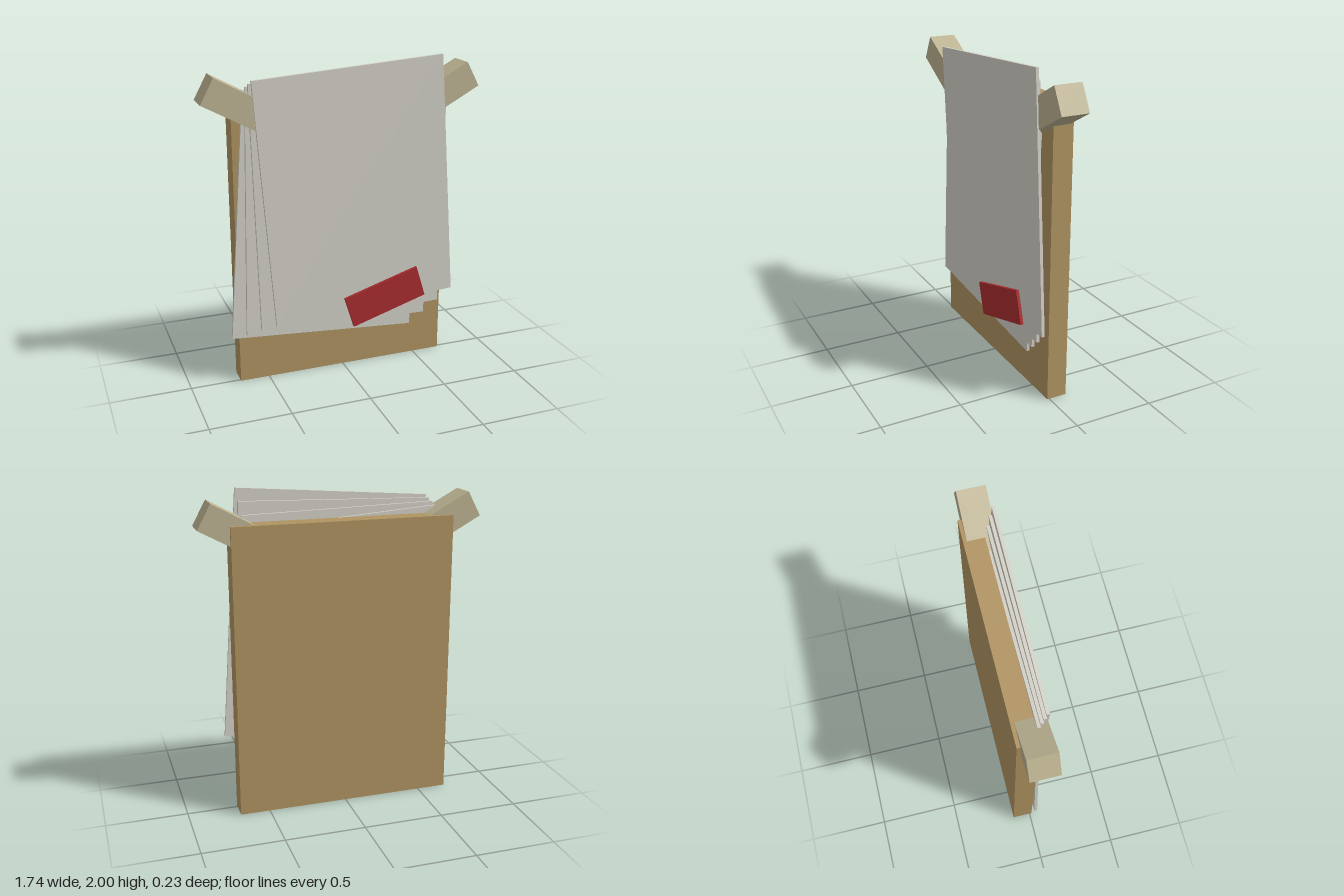
import * as THREE from 'three';

const material = (color) => new THREE.MeshStandardMaterial({ color, flatShading: true });

// A box placed by its centre and turned in the front plane (degrees)
function slab(name, [w, h, d], [x, y, z], angle, mat) {
  const mesh = new THREE.Mesh(new THREE.BoxGeometry(w, h, d), mat);
  mesh.name = name;
  mesh.position.set(x, y, z);
  mesh.rotation.z = THREE.MathUtils.degToRad(angle);
  return mesh;
}

export function createModel() {
  const group = new THREE.Group();
  group.name = 'noticeBoard';
  const wood = material(0xb09462);
  const paper = material(0xd3d1c7);
  const tape = material(0xbeb493);
  const red = material(0xa92d30);

  // Backing board
  group.add(slab('board', [1.37, 1.805, 0.127], [0, 0.9025, -0.0505], 0, wood));

  // Fanned stack of sheets, back to front
  const thickness = 0.0187;
  for (let i = 0; i < 4; i++) {
    const t = i - 1.5;
    group.add(slab(`sheet${i + 1}`, [1.198, 1.545, thickness],
      [t * 0.052, 1.11 + t * 0.05, 0.0225 + i * thickness], t * 2.87, paper));
  }

  // Slanted corner blocks, mirrored left and right
  const length = 0.45;
  const tilt = 28.5;
  const a = THREE.MathUtils.degToRad(tilt);
  for (const side of [-1, 1]) {
    const x = side * (0.831 - Math.cos(a) * length / 2);
    const y = 1.865 - Math.sin(a) * length / 2;
    group.add(slab(side > 0 ? 'leftCornerBlock' : 'rightCornerBlock',
      [length, 0.17, 0.171], [x, y, -0.007], side * tilt, tape));
  }

  // Red tag on the front sheet
  group.add(slab('redTag', [0.512, 0.209, 0.019], [0.255, 0.475, 0.1045], 17, red));

  return group;
}
